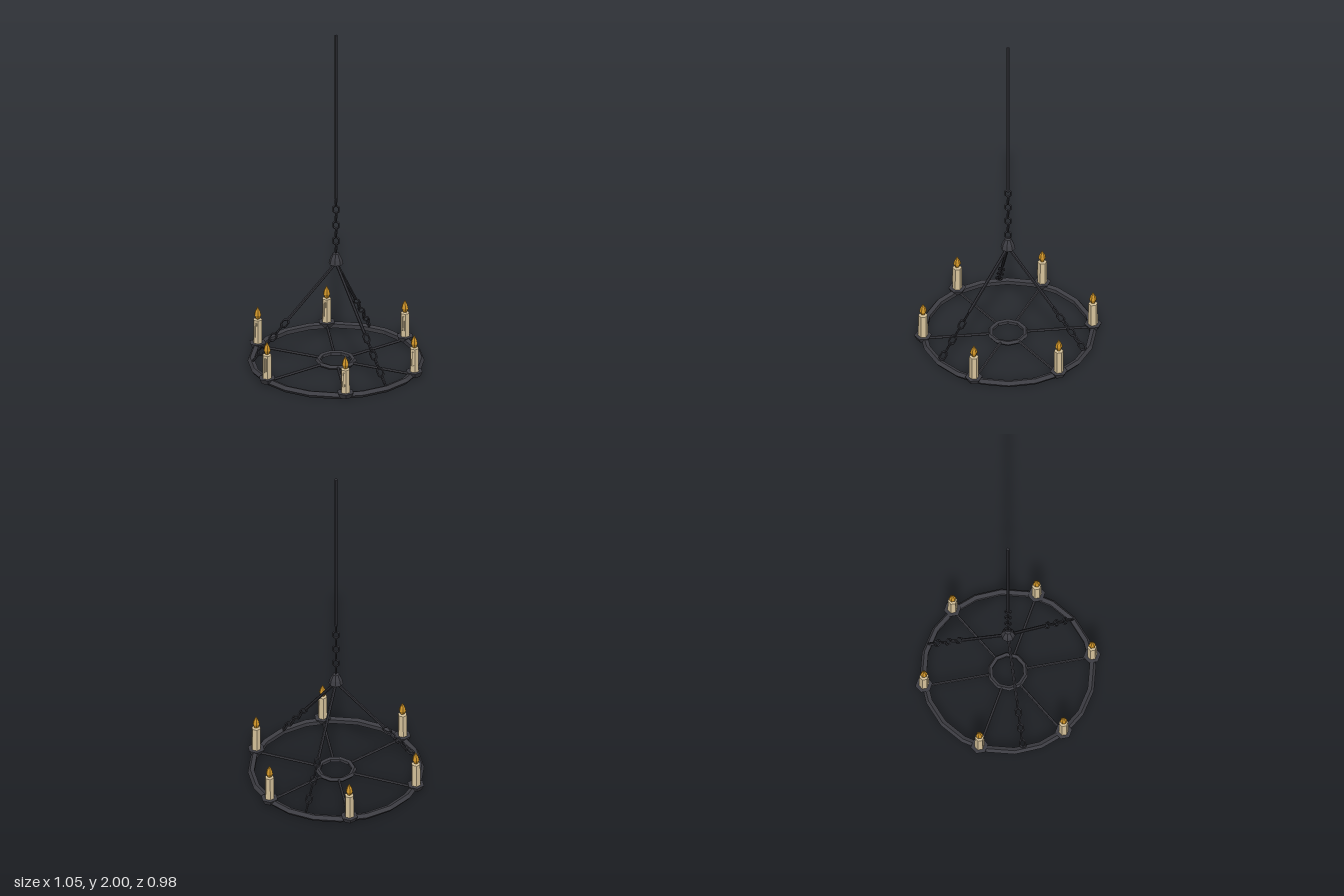
import * as THREE from 'three';

const mat = (name, color) => {
  const m = new THREE.MeshStandardMaterial({ color, flatShading: true });
  m.name = name;
  return m;
};

export function createModel() {
  const iron = mat('iron', 0x3d3d43);
  const darkIron = mat('dark iron', 0x323238);
  const wax = mat('wax', 0xd8c49c);
  const fire = mat('flame', 0xcf9428);

  const model = new THREE.Group();
  model.name = 'chandelier';
  const UP = new THREE.Vector3(0, 1, 0);
  const V = (x, y, z) => new THREE.Vector3(x, y, z);

  function add(parent, name, geometry, material, x = 0, y = 0, z = 0) {
    const mesh = new THREE.Mesh(geometry, material);
    mesh.name = name;
    mesh.position.set(x, y, z);
    parent.add(mesh);
    return mesh;
  }

  // Straight bar between two points
  function bar(name, a, b, radius, material, sides = 6) {
    const d = b.clone().sub(a);
    const m = add(model, name, new THREE.CylinderGeometry(radius, radius, d.length(), sides), material);
    m.position.copy(a).add(b).multiplyScalar(0.5);
    m.quaternion.setFromUnitVectors(UP, d.normalize());
  }

  // Chain of hexagonal links, each turned a quarter from the last
  function chain(name, a, b, count, linkLength, twist) {
    const d = b.clone().sub(a);
    const length = d.length();
    const g = new THREE.Group();
    g.name = name;
    g.position.copy(a);
    g.quaternion.setFromUnitVectors(UP, d.normalize());
    const link = new THREE.TorusGeometry(0.016, 0.005, 4, 6);
    link.rotateZ(Math.PI / 2);
    link.scale(1.08, linkLength / 0.042, 1);
    const pitch = (length - linkLength) / (count - 1);
    for (let i = 0; i < count; i++) {
      const m = add(g, 'chainLink', link, darkIron, 0, linkLength / 2 + i * pitch, 0);
      m.rotation.y = twist + (i % 2) * Math.PI / 2;
    }
    model.add(g);
  }

  // Outer rim and hub ring
  const flatRing = (radius, tube, segments) =>
    new THREE.TorusGeometry(radius, tube, 5, segments).rotateX(-Math.PI / 2);
  add(model, 'rim', flatRing(0.47, 0.02, 20), iron, 0, 0.02, 0);
  add(model, 'hubRing', flatRing(0.1, 0.015, 10), iron, 0, 0.02, 0);

  // Candle pieces
  const cupGeometry = new THREE.CylinderGeometry(0.049, 0.034, 0.03, 6).rotateY(Math.PI / 6);
  const candleGeometry = new THREE.CylinderGeometry(0.026, 0.027, 0.14, 6).rotateY(Math.PI / 6);
  const dripGeometry = new THREE.CylinderGeometry(0.005, 0.007, 0.085, 5);
  const flameGeometry = new THREE.LatheGeometry([
    [0, 0], [0.012, 0.008], [0.021, 0.03], [0.016, 0.05], [0, 0.08],
  ].map(([r, y]) => new THREE.Vector2(r, y)), 6).rotateY(Math.PI / 6);

  // Six spokes, each ending in a cup with a candle
  for (let i = 0; i < 6; i++) {
    const a = i * Math.PI / 3;
    const c = Math.cos(a), s = Math.sin(a);
    bar('spoke', V(c * 0.095, 0.02, s * 0.095), V(c * 0.47, 0.02, s * 0.47), 0.008, iron);
    const g = new THREE.Group();
    g.name = 'candleHolder';
    g.position.set(c * 0.474, 0, s * 0.474);
    add(g, 'cup', cupGeometry, iron, 0, 0.028, 0);
    add(g, 'candle', candleGeometry, wax, 0, 0.112, 0);
    add(g, 'waxDrip', dripGeometry, wax, -0.02, 0.125, 0.013);
    add(g, 'flame', flameGeometry, fire, 0, 0.18, 0);
    model.add(g);
  }

  // Three sloping hangers: bar above, chain below
  const apex = V(0, 0.615, 0);
  for (let i = 0; i < 3; i++) {
    const a = Math.PI / 2 + i * Math.PI * 2 / 3;
    const foot = V(Math.cos(a) * 0.47, 0.03, Math.sin(a) * 0.47);
    const joint = apex.clone().lerp(foot, 0.57);
    bar('hangerBar', apex, joint, 0.009, darkIron);
    chain('hangerChain', foot, joint.clone().lerp(apex, 0.02), 6, 0.075, Math.PI / 4);
  }

  // Bell-shaped cap where the hangers meet
  const cap = [[0, 0.61], [0.041, 0.61], [0.034, 0.64], [0.018, 0.672], [0, 0.675]]
    .map(([r, y]) => new THREE.Vector2(r, y));
  add(model, 'cap', new THREE.LatheGeometry(cap, 8), iron);

  // Upper chain and ceiling rod
  chain('upperChain', V(0, 0.668, 0), V(0, 1.02, 0), 7, 0.064, Math.PI / 4);
  bar('ceilingRod', V(0, 1.0, 0), V(0, 2, 0), 0.009, darkIron);

  return model;
}
